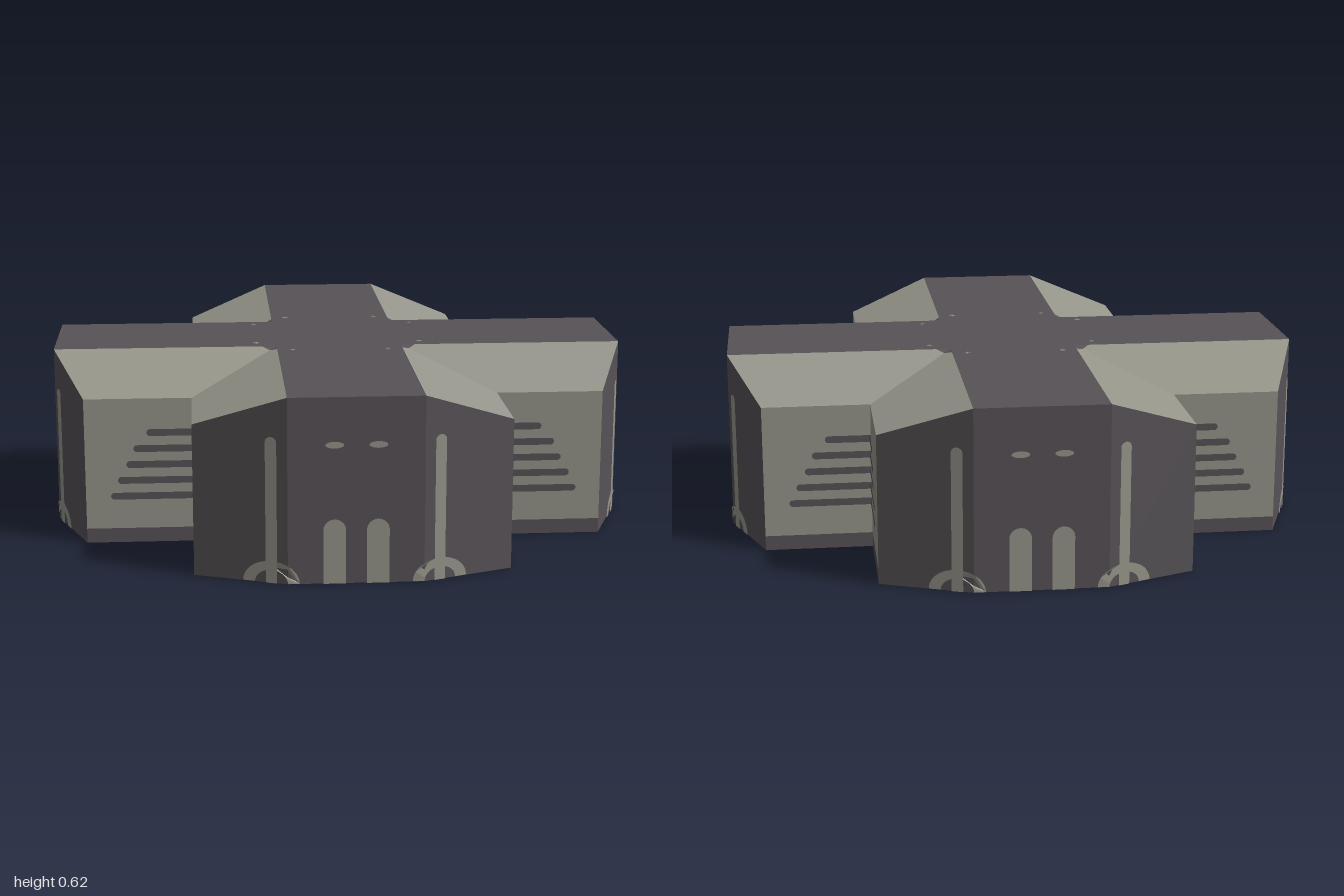
import * as THREE from 'three';

const IN = 0.22, OUT = 0.52;      // half widths of the flat top and of the arm
const TOP = 0.615, EAVE = 0.505;  // heights of the flat top and of the eaves
const CUT = 0.885, BASE = 0.05;   // where the cut corners start, plinth height
const LIFT = 0.004;               // how far painted details stand proud

const dark = new THREE.MeshStandardMaterial({ color: 0x575256 });
dark.name = 'charcoal';
const light = new THREE.MeshStandardMaterial({ color: 0x96958a });
light.name = 'stone';

// Flat convex face, corners counter-clockwise from outside; side -1 mirrors it in x
function face(group, name, material, points, side = 1) {
  const p = points.map(([x, y, z]) => new THREE.Vector3(x * side, y, z));
  if (side < 0) p.reverse();
  const tris = [];
  for (let i = 1; i < p.length - 1; i++) tris.push(p[0], p[i], p[i + 1]);
  const g = new THREE.BufferGeometry().setFromPoints(tris);
  g.computeVertexNormals();
  const m = new THREE.Mesh(g, material);
  m.name = name;
  group.add(m);
}

// Painted shape laid onto a wall by a placing rule (u, y) -> [x, y, z]
function decal(group, name, material, shape, place) {
  const g = new THREE.ShapeGeometry(shape, 14).toNonIndexed();
  const p = g.attributes.position;
  for (let i = 0; i < p.count; i++) p.setXYZ(i, ...place(p.getX(i), p.getY(i)));
  g.computeVertexNormals();
  const m = new THREE.Mesh(g, material);
  m.name = name;
  group.add(m);
}

// Upright bar with a rounded top
function bar(x, width, bottom, top) {
  const r = width / 2, s = new THREE.Shape();
  s.moveTo(x - r, bottom);
  s.lineTo(x + r, bottom);
  s.absarc(x, top - r, r, 0, Math.PI, false);
  return s;
}

// Half ring standing on the ground
function arch(x) {
  const s = new THREE.Shape();
  s.absellipse(x, 0.002, 0.09, 0.072, 0, Math.PI, false);
  s.absellipse(x, 0.002, 0.052, 0.042, Math.PI, 0, true);
  return s;
}

// Level stripe from a to b, rounded at the end a
function stripe(a, b, y, h) {
  const r = h / 2, s = new THREE.Shape();
  s.moveTo(b, y - r);
  s.lineTo(b, y + r);
  s.absarc(a + r, y, r, Math.PI / 2, Math.PI * 1.5, false);
  return s;
}

function endWall(x, y) {
  const over = Math.max(0, Math.abs(x) - IN);
  return [x, y, 1 + LIFT - over * (1 - CUT) / (OUT - IN)];
}

function createArm() {
  const arm = new THREE.Group();
  const roofY = x => TOP - (x - IN) * (TOP - EAVE) / (OUT - IN);
  const roof = pts => pts.map(([x, z]) => [x, roofY(x), z]);

  face(arm, 'flatRoof', dark, [[-IN, TOP, IN], [-IN, TOP, 1], [IN, TOP, 1], [IN, TOP, IN]]);
  face(arm, 'endWall', dark, [[-IN, 0, 1], [IN, 0, 1], [IN, TOP, 1], [-IN, TOP, 1]]);
  face(arm, 'underside', dark, [[-OUT, 0, OUT], [OUT, 0, OUT], [OUT, 0, CUT],
    [IN, 0, 1], [-IN, 0, 1], [-OUT, 0, CUT]]);

  for (const side of [1, -1]) {
    // Shell
    face(arm, 'cornerWall', dark,
      [[IN, 0, 1], [OUT, 0, CUT], [OUT, EAVE, CUT], [IN, TOP, 1]], side);
    face(arm, 'slopedRoof', light,
      roof([[IN, 0.27], [IN, 1], [OUT, CUT], [OUT, OUT], [0.245, 0.245]]), side);
    face(arm, 'roofCorner', dark, roof([[IN, IN], [IN, 0.27], [0.245, 0.245]]), side);
    const wall = (a, b) => [[OUT, a, CUT], [OUT, a, OUT], [OUT, b, OUT], [OUT, b, CUT]];
    face(arm, 'plinth', dark, wall(0, BASE), side);
    face(arm, 'sideWall', light, wall(BASE, EAVE), side);

    // Stripes on the side wall, shorter towards the top
    [0.675, 0.72, 0.745, 0.775, 0.8].forEach((end, i) => {
      const s = side > 0 ? stripe(-end, -OUT, 0.387 - i * 0.0555, 0.024)
        : stripe(-end, -OUT, 0.387 - i * 0.0555, 0.024);
      decal(arm, 'wallStripe', dark, s, (u, y) => [OUT + LIFT, y, -u]);
      if (side < 0) {
        const m = arm.children[arm.children.length - 1];
        // Mirrored copy on the opposite wall
        const p = m.geometry.attributes.position;
        for (let k = 0; k < p.count; k += 3) {
          const v = [0, 2, 1].map(j => [-p.getX(k + j), p.getY(k + j), p.getZ(k + j)]);
          v.forEach((c, j) => p.setXYZ(k + j, ...c));
        }
        m.geometry.computeVertexNormals();
      }
    });

    // Painted details on the end wall
    decal(arm, 'post', light, bar(side * 0.272, 0.036, 0, 0.485), endWall);
    decal(arm, 'postArch', light, arch(side * 0.272), endWall);
    decal(arm, 'doorPanel', light, bar(side * 0.07, 0.073, 0, 0.215), endWall);
    const slot = new THREE.Shape();
    slot.absellipse(side * 0.07, 0.46, 0.03, 0.011, 0, Math.PI * 2);
    decal(arm, 'slot', light, slot, endWall);

    // Small cross marks on the roof
    for (const [w, d] of [[0.02, 0.004], [0.004, 0.02]]) {
      const mark = new THREE.Mesh(new THREE.BoxGeometry(w, 0.003, d), light);
      mark.name = 'roofMark';
      mark.position.set(side * 0.168, TOP + 0.001, 0.29);
      arm.add(mark);
    }
  }
  return arm;
}

export function createModel() {
  const model = new THREE.Group();
  model.name = 'crossBlock';

  // Four equal arms
  for (let i = 0; i < 4; i++) {
    const arm = createArm();
    arm.name = 'arm';
    arm.rotation.y = i * Math.PI / 2;
    model.add(arm);
  }

  // Middle of the roof and of the underside
  face(model, 'roofCentre', dark, [[-IN, TOP, -IN], [-IN, TOP, IN], [IN, TOP, IN], [IN, TOP, -IN]]);
  face(model, 'undersideCentre', dark, [[-OUT, 0, -OUT], [OUT, 0, -OUT], [OUT, 0, OUT], [-OUT, 0, OUT]]);
  return model;
}
